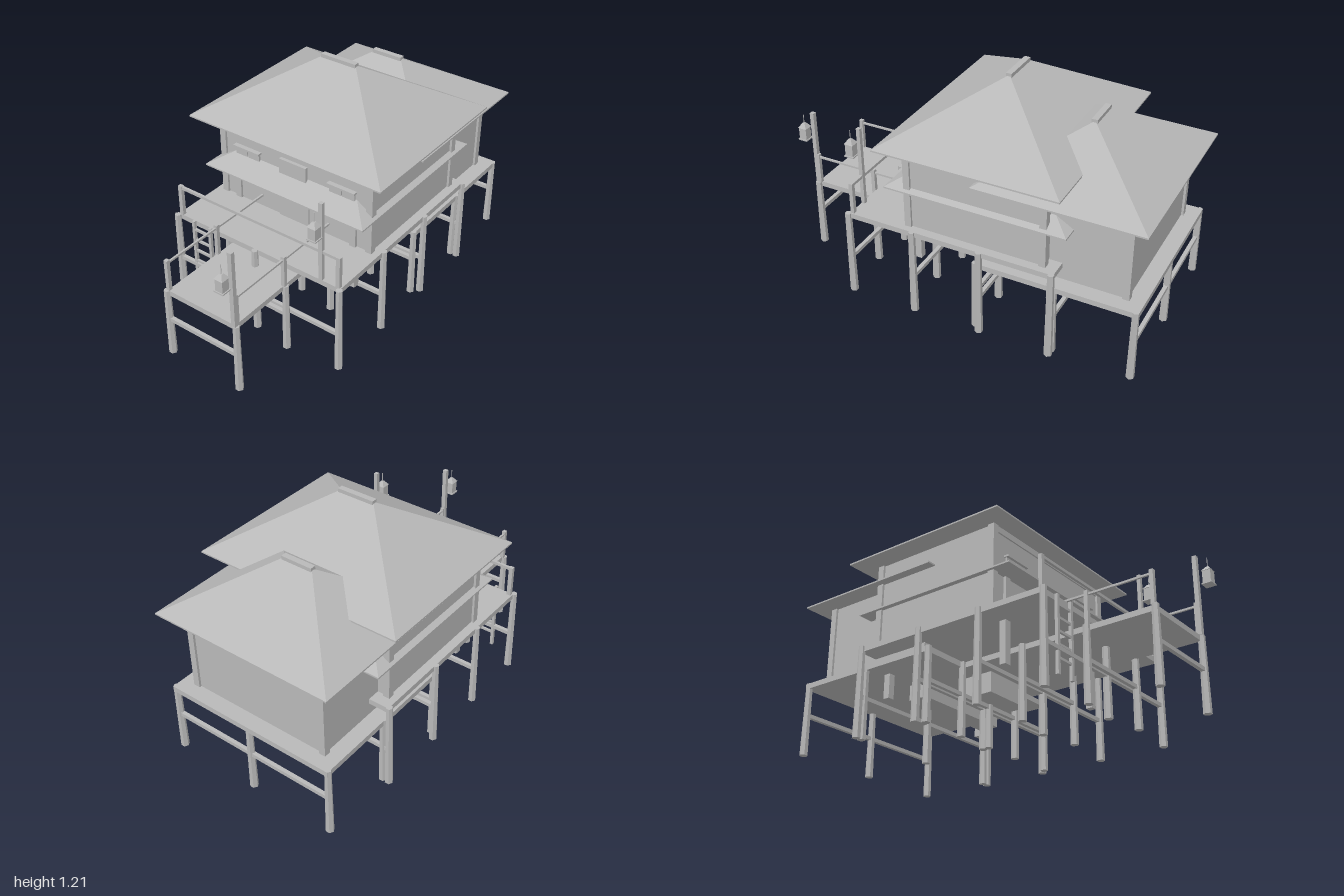
import * as THREE from 'three';

const grey = new THREE.MeshStandardMaterial({ color: 0xb8b8b8 });
grey.name = 'weatheredGrey';

function add(parent, name, geometry, x, y, z) {
  const mesh = new THREE.Mesh(geometry, grey);
  mesh.name = name;
  mesh.position.set(x, y, z);
  parent.add(mesh);
  return mesh;
}

// Box given by its minimum and maximum on each axis
function box(parent, name, x0, x1, y0, y1, z0, z1) {
  return add(parent, name, new THREE.BoxGeometry(x1 - x0, y1 - y0, z1 - z0),
    (x0 + x1) / 2, (y0 + y1) / 2, (z0 + z1) / 2);
}

// Hip roof: a box with a thin rim, its top drawn in to a ridge
function hipRoof(parent, name, halfX, halfZ, eave, ridge, ridgeHalf, z) {
  const g = new THREE.BoxGeometry(2, 2, 2, 1, 2, 1).toNonIndexed();
  const p = g.attributes.position;
  for (let i = 0; i < p.count; i++) {
    const sx = Math.sign(p.getX(i)), sz = Math.sign(p.getZ(i)), level = p.getY(i);
    if (level > 0.5) p.setXYZ(i, sx * ridgeHalf, ridge, sz * 0.008);
    else p.setXYZ(i, sx * halfX, level < -0.5 ? eave - 0.004 : eave + 0.004, sz * halfZ);
  }
  g.computeVertexNormals();
  add(parent, name, g, 0, 0, z);
}

// Raised deck: slab, rows of tapered six-sided stilts, cross beams
function deck(parent, name, halfX, z0, z1, top, xs, zs) {
  const group = new THREE.Group();
  group.name = name;
  parent.add(group);
  box(group, 'deckFloor', -halfX, halfX, top - 0.028, top, z0, z1);
  const stilt = new THREE.CylinderGeometry(0.017, 0.021, top, 6);
  stilt.rotateY(Math.PI / 6);
  const flat = stilt.toNonIndexed();
  flat.computeVertexNormals();
  const reach = Math.max(...xs);
  for (const z of zs) {
    for (const x of xs) add(group, 'stilt', flat, x, top / 2, z);
    box(group, 'crossBeam', -reach, reach, 0.2, 0.22, z - 0.01, z + 0.01);
  }
}

// Walls set in between four corner posts
function house(parent, name, halfX, z0, z1, y0, y1, wallBottom) {
  const group = new THREE.Group();
  group.name = name;
  parent.add(group);
  const w = 0.035, inset = 0.012;
  box(group, 'walls', -halfX + inset, halfX - inset, wallBottom, y1, z0 + inset, z1 - inset);
  for (const s of [-1, 1]) {
    const cx = s * (halfX - w / 2);
    for (const z of [z0 + w / 2, z1 - w / 2]) {
      box(group, 'cornerPost', cx - w / 2, cx + w / 2, y0, y1, z - w / 2, z + w / 2);
    }
  }
  return group;
}

function lantern(parent, x, y, z) {
  const group = new THREE.Group();
  group.name = 'lantern';
  group.position.set(x, y, z);
  parent.add(group);
  box(group, 'lanternBase', -0.026, 0.026, 0, 0.007, -0.026, 0.026);
  box(group, 'lanternBody', -0.021, 0.021, 0.007, 0.07, -0.021, 0.021);
  const cap = new THREE.CylinderGeometry(0.01, 0.035, 0.024, 4).toNonIndexed();
  cap.rotateY(Math.PI / 4);
  cap.computeVertexNormals();
  add(group, 'lanternCap', cap, 0, 0.082, 0);
  add(group, 'lanternCord', new THREE.CylinderGeometry(0.002, 0.002, 0.05, 6), 0, 0.118, 0);
}

export function createModel() {
  const model = new THREE.Group();
  model.name = 'stiltHouse';

  // Decks
  deck(model, 'upperDeck', 0.495, -0.575, 0.515, 0.47, [-0.495, 0, 0.495], [0.525, 0.165, -0.195, -0.565]);
  deck(model, 'frontDeck', 0.205, -0.16, 0.91, 0.38, [-0.21, 0.21], [0.91, 0.557, 0.2, -0.16]);
  deck(model, 'rearDeck', 0.47, -0.98, -0.16, 0.38, [-0.46, 0, 0.46], [-0.16, -0.565, -0.965]);

  // Main house: two storeys, each under its own hip roof
  const main = house(model, 'upperStorey', 0.46, -0.52, 0.222, 0.47, 0.912, 0.47);
  house(model, 'lowerStorey', 0.37, -0.525, 0.225, 0.225, 0.67, 0.45);
  hipRoof(model, 'mainRoof', 0.565, 0.472, 0.915, 1.195, 0.1, -0.15);
  hipRoof(model, 'skirtRoof', 0.475, 0.472, 0.667, 0.94, 0.02, -0.15);
  box(model, 'mainRidgeCap', -0.1, 0.1, 1.183, 1.21, -0.165, -0.135);
  box(main, 'lintelBeam', -0.425, 0.425, 0.88, 0.912, 0.205, 0.218);

  // Door, sign board and shuttered windows
  box(main, 'door', -0.09, 0.09, 0.47, 0.69, 0.212, 0.221);
  box(main, 'signBoard', -0.08, 0.08, 0.725, 0.805, 0.212, 0.23);
  for (const s of [-1, 1]) {
    const cx = s * 0.285;
    box(main, 'windowHood', cx - 0.08, cx + 0.08, 0.77, 0.78, 0.205, 0.235);
    for (const dx of [-0.038, 0.038]) {
      box(main, 'windowShutter', cx + dx - 0.035, cx + dx + 0.035, 0.715, 0.77, 0.212, 0.221);
    }
  }

  // Rear house
  house(model, 'rearHouse', 0.4, -0.91, -0.24, 0.38, 0.81, 0.38);
  hipRoof(model, 'rearRoof', 0.495, 0.425, 0.81, 1.055, 0.085, -0.575);
  box(model, 'rearRidgeCap', -0.085, 0.085, 1.045, 1.07, -0.59, -0.56);
  box(model, 'passageDoor', -0.09, 0.09, 0.38, 0.45, -0.14, -0.125);

  // Storage boxes beneath the floors
  box(model, 'storageBox', -0.14, 0.14, 0.223, 0.328, -0.22, -0.04);
  box(model, 'wideStorageBox', -0.28, 0.28, 0.223, 0.302, -0.435, -0.33);

  // Upper deck railing
  for (const x of [-0.478, 0.478]) box(model, 'railPost', x - 0.011, x + 0.011, 0.47, 0.637, 0.495, 0.515);
  box(model, 'frontRail', -0.485, 0.485, 0.62, 0.635, 0.498, 0.512);

  // Front deck railing
  for (const x of [-0.205, 0.205]) {
    for (const z of [0.9, 0.56]) box(model, 'railPost', x - 0.01, x + 0.01, 0.38, 0.55, z - 0.01, z + 0.01);
    box(model, 'sideRail', x - 0.005, x + 0.005, 0.527, 0.537, 0.21, 0.9);
  }

  // Lantern posts and lanterns
  box(model, 'lanternPost', 0.192, 0.215, 0.38, 0.79, 0.9, 0.922);
  box(model, 'lanternPost', 0.371, 0.391, 0.47, 0.893, 0.497, 0.517);
  lantern(model, 0.202, 0.62, 0.974);
  lantern(model, 0.381, 0.727, 0.56);

  // Ladder to the upper deck
  const ladder = new THREE.Group();
  ladder.name = 'ladder';
  model.add(ladder);
  for (const x of [-0.389, -0.284]) box(ladder, 'ladderSide', x - 0.008, x + 0.008, 0.09, 0.472, 0.515, 0.531);
  for (let i = 0; i < 5; i++) {
    const y = 0.168 + i * 0.064;
    box(ladder, 'ladderRung', -0.385, -0.288, y - 0.006, y + 0.006, 0.518, 0.529);
  }
  return model;
}
